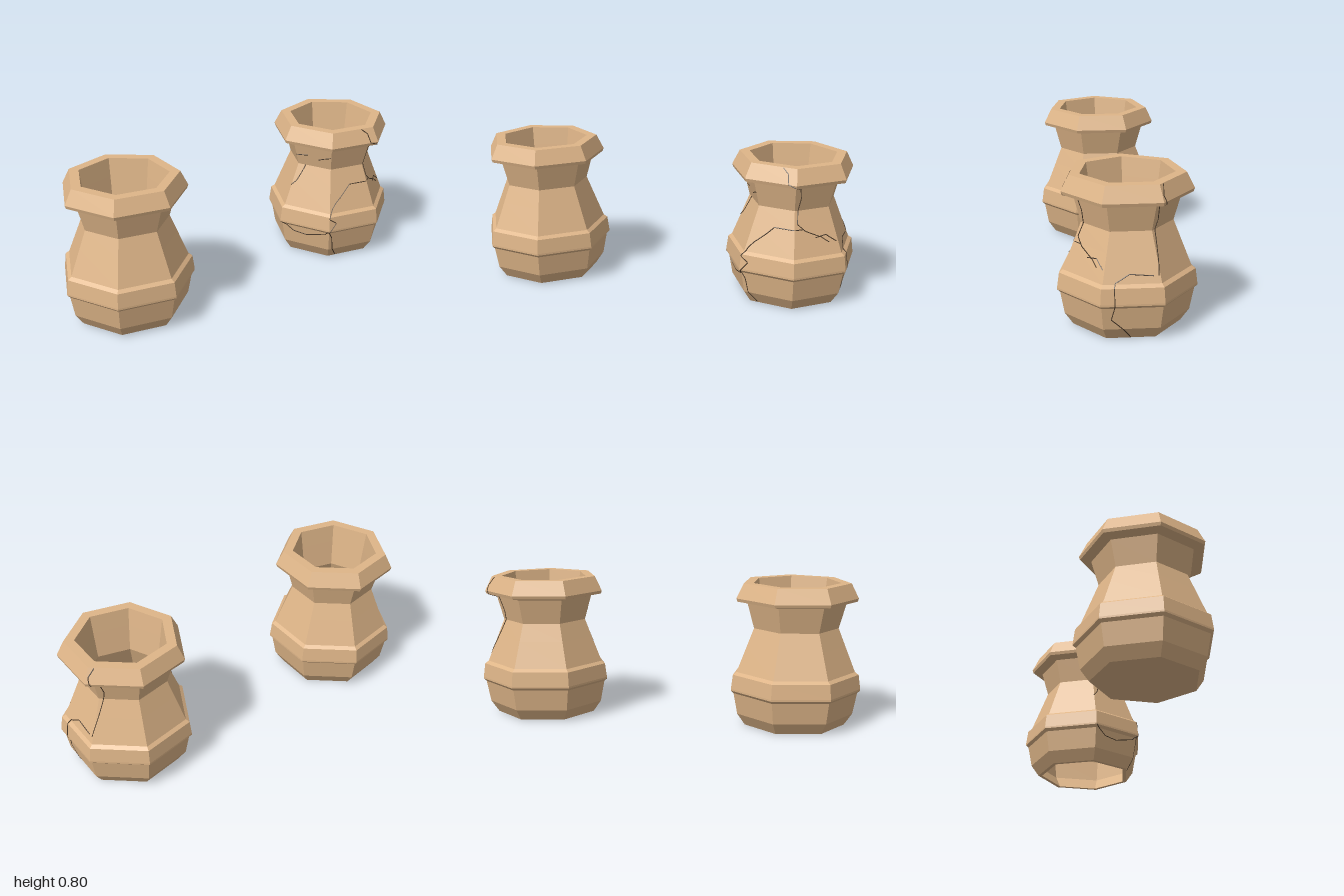
import * as THREE from 'three';

const SIDES = 7;
const clay = new THREE.MeshStandardMaterial({ color: 0xdeb588, flatShading: true });
const crackDark = new THREE.MeshStandardMaterial({ color: 0x4a3a2a, flatShading: true });

// Outer profile [corner radius, height], bottom to top
const outer = [
  [0.285, 0], [0.33, 0.065], [0.353, 0.185], [0.369, 0.2], [0.369, 0.21], [0.358, 0.29],
  [0.337, 0.305], [0.279, 0.45], [0.24, 0.548], [0.279, 0.688], [0.338, 0.7], [0.344, 0.718], [0.303, 0.8],
];
// Inner profile, top to bottom
const inner = [[0.247, 0.8], [0.232, 0.7], [0.21, 0.55], [0.25, 0.45], [0.31, 0.3], [0.325, 0.2], [0.305, 0.07]];

// Seven-sided vessel with a corner pointing to +x
function vessel(profile) {
  const points = profile.map(([r, y]) => new THREE.Vector2(r, y));
  return new THREE.Mesh(new THREE.LatheGeometry(points, SIDES, Math.PI / 2), clay);
}

// Point on the faceted outer wall at an angle (0 = +x, 90 = front)
function wallPoint(deg, y) {
  let i = 0;
  while (i < outer.length - 2 && y > outer[i + 1][1]) i++;
  const [r0, y0] = outer[i], [r1, y1] = outer[i + 1];
  const r = THREE.MathUtils.mapLinear(y, y0, y1, r0, r1);
  const step = (2 * Math.PI) / SIDES;
  const a = THREE.MathUtils.degToRad(deg);
  const local = THREE.MathUtils.euclideanModulo(a, step) - step / 2;
  const d = (r * Math.cos(step / 2)) / Math.cos(local);
  return new THREE.Vector3(d * Math.cos(a), y, d * Math.sin(a));
}

// Thin crack line hugging the wall through [angle, height] stops
function crack(stops) {
  const path = new THREE.CurvePath();
  const pts = [];
  for (let i = 0; i < stops.length - 1; i++) {
    const [a0, y0] = stops[i], [a1, y1] = stops[i + 1];
    for (let k = 0; k < 6; k++) pts.push(wallPoint(a0 + ((a1 - a0) * k) / 6, y0 + ((y1 - y0) * k) / 6));
  }
  pts.push(wallPoint(...stops[stops.length - 1]));
  for (let i = 0; i < pts.length - 1; i++) path.add(new THREE.LineCurve3(pts[i], pts[i + 1]));
  const mesh = new THREE.Mesh(new THREE.TubeGeometry(path, pts.length * 2, 0.003, 4), crackDark);
  mesh.name = 'crack';
  return mesh;
}

const cracks = [
  // Front, rim to shoulder
  [[66, 0.797], [60, 0.77], [59, 0.72], [46, 0.69], [44, 0.62], [47, 0.55], [48, 0.48], [38, 0.44], [18, 0.4], [10, 0.37]],
  // Front, shoulder to foot
  [[40, 0.45], [76, 0.45], [96, 0.36], [100, 0.33], [103, 0.28], [96, 0.25], [103, 0.19], [100, 0.15], [99, 0.07], [94, 0.005]],
  // Loose shard under the belly band
  [[154, 0.2], [143, 0.15], [128, 0.14], [107, 0.17], [103, 0.2]],
  // Right side
  [[26, 0.4], [12, 0.41], [2, 0.37]],
  [[-46, 0.34], [-23, 0.35], [-10, 0.31], [-11, 0.2], [-7, 0.12], [-18, 0.06], [-25, 0.005]],
  // Back corner
  [[-57, 0.797], [-53, 0.75], [-56, 0.7], [-60, 0.6], [-57, 0.55], [-50, 0.34]],
  // Neck chips
  [[155, 0.61], [137, 0.62]],
  [[121, 0.6], [102, 0.63]],
  [[143, 0.55], [150, 0.45], [155, 0.42]],
];

export function createModel() {
  const model = new THREE.Group();

  // Whole pot with a floor
  const whole = vessel([[0, 0], ...outer, ...inner, [0, 0.07]]);
  whole.name = 'wholePot';
  whole.position.set(-0.667, 0, 0.33);
  model.add(whole);

  // Cracked pot whose base has fallen out
  const broken = new THREE.Group();
  broken.name = 'crackedPot';
  const shell = vessel([...outer, ...inner, [0.262, 0], outer[0]]);
  shell.name = 'crackedPotWall';
  broken.add(shell, ...cracks.map(crack));
  broken.position.set(0.63, 0, -0.33);
  model.add(broken);

  return model;
}
